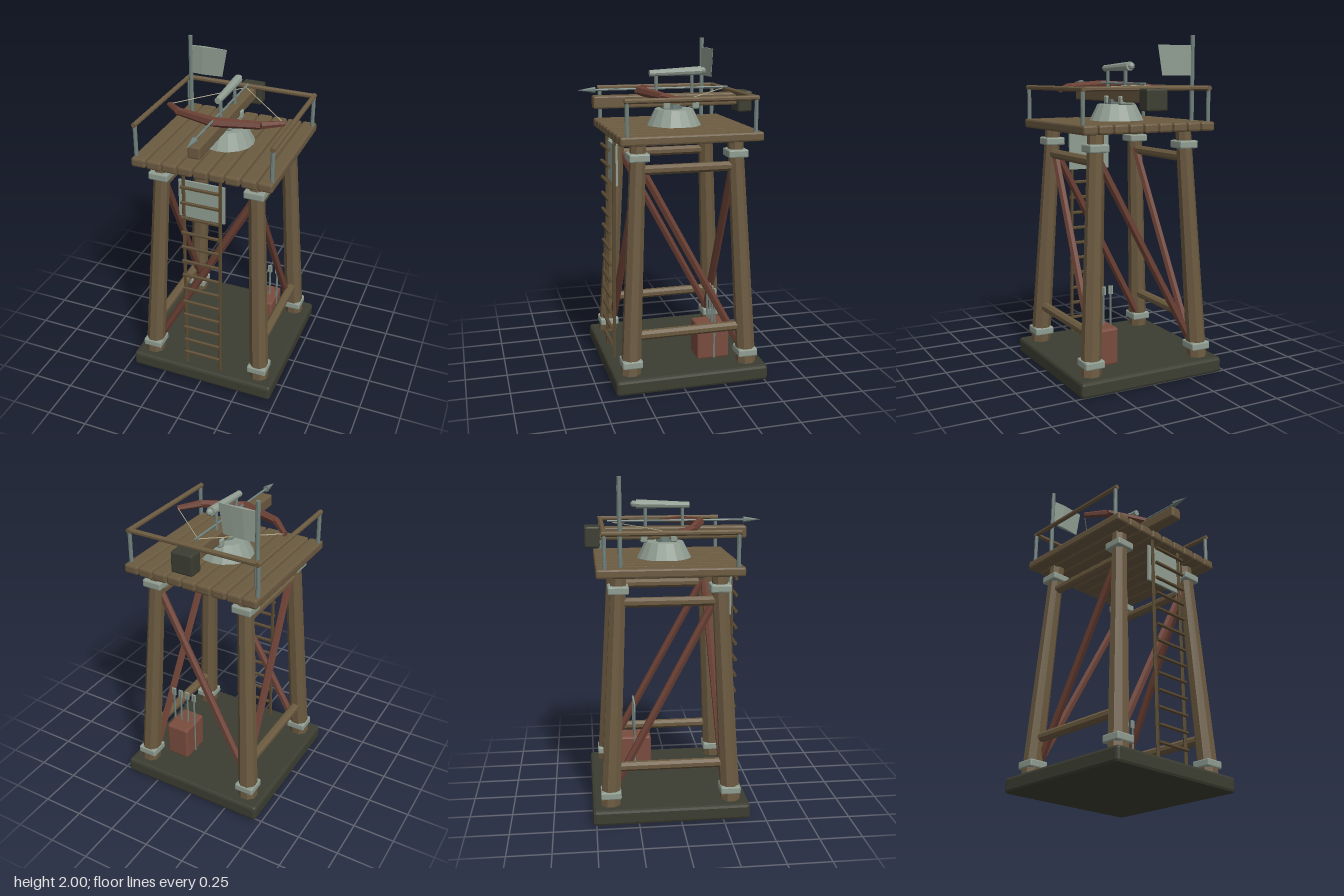
import * as THREE from 'three';
import { RoundedBoxGeometry } from 'three/addons/geometries/RoundedBoxGeometry.js';

const paint = (name, color) => {
  const m = new THREE.MeshStandardMaterial({ color, flatShading: true });
  m.name = name;
  return m;
};

export function createModel() {
  const wood = paint('wood', 0x6b5a40);
  const ladderWood = paint('ladder wood', 0x5a4a31);
  const redWood = paint('red wood', 0x6b4034);
  const crateRed = paint('crate red', 0x7a4c3e);
  const stone = paint('dark stone', 0x3c3d31);
  const metal = paint('pale metal', 0x909d91);
  const steel = paint('steel', 0x70807b);
  const cord = paint('cord', 0xb0a888);

  const model = new THREE.Group();
  const ZC = -0.055; // tower axis

  const add = (name, geo, mat, x = 0, y = 0, z = 0) => {
    const mesh = new THREE.Mesh(geo, mat);
    mesh.name = name;
    mesh.position.set(x, y, z);
    model.add(mesh);
    return mesh;
  };
  // Box with chamfered edges
  const block = (name, mat, w, h, d, x, y, z, c = 0.01) =>
    add(name, new RoundedBoxGeometry(w, h, d, 1, c), mat, x, y, z);
  // Tapered prism between two points
  const strut = (name, mat, a, b, ra, rb = ra, sides = 8) => {
    const p = new THREE.Vector3(...a), q = new THREE.Vector3(...b);
    const dir = q.clone().sub(p);
    const geo = new THREE.CylinderGeometry(rb, ra, dir.length(), sides);
    geo.rotateY(Math.PI / sides);
    const mesh = add(name, geo, mat);
    mesh.position.copy(p).add(q).multiplyScalar(0.5);
    mesh.quaternion.setFromUnitVectors(new THREE.Vector3(0, 1, 0), dir.normalize());
    return mesh;
  };
  // Distance of the leaning legs from the axis at height y
  const lean = (y) => 0.363 - 0.052 * y;

  // Base slab
  block('baseSlab', stone, 0.93, 0.095, 0.93, 0, 0.0475, ZC, 0.018);

  // Legs with metal collars
  for (const sx of [-1, 1]) for (const sz of [-1, 1]) {
    const at = (y) => [sx * lean(y), y, ZC + sz * lean(y)];
    strut('leg', wood, at(0.09), at(1.46), 0.06, 0.046);
    for (const y of [0.163, 1.372]) {
      const [x, , z] = at(y);
      block('legCollar', metal, 0.12, 0.046, 0.12, x, y, z, 0.008);
    }
  }

  // Side beams and one diagonal brace on every side
  for (const s of [-1, 1]) {
    for (const y of [0.322, 1.295]) {
      const r = lean(y);
      strut('sideBeam', wood, [s * r, y, ZC - r], [s * r, y, ZC + r], 0.029);
    }
    const lo = 0.2, hi = 1.33, a = lean(lo) - 0.03, b = lean(hi) - 0.01;
    strut('sideBrace', redWood, [s * a, lo, ZC - a], [s * b, hi, ZC + b], 0.024, 0.024, 6);
    strut('crossBrace', redWood, [-a, lo, ZC + s * a], [b, hi, ZC + s * b], 0.024, 0.024, 6);
  }

  // Deck planks
  for (let i = -4; i <= 4; i++)
    block('deckPlank', wood, 0.088, 0.054, 0.834, i * 0.0945, 1.479, ZC, 0.012);

  // Railing, open at the front
  const back = -0.423, front = 0.32, side = 0.405, railY = 1.697;
  for (const s of [-1, 1]) {
    for (const z of [back, front])
      strut('railPost', steel, [s * side, 1.5, z], [s * side, railY, z], 0.012);
    strut('sideRail', wood, [s * side, railY, back - 0.014], [s * side, railY, front + 0.014], 0.015);
  }
  strut('backRail', wood, [-side, railY, back], [side, railY, back], 0.015);

  // Flag and pole
  strut('flagPole', steel, [-0.35, 1.5, -0.334], [-0.35, 2, -0.334], 0.013);
  const flagGeo = new THREE.BoxGeometry(0.225, 0.172, 1, 3, 1, 1);
  const fp = flagGeo.attributes.position;
  const thick = [0.008, 0.022, 0.014, 0.002];
  for (let i = 0; i < fp.count; i++) {
    const col = Math.round((fp.getX(i) / 0.225 + 0.5) * 3);
    fp.setZ(i, fp.getZ(i) * thick[col]);
    if (fp.getY(i) < 0) fp.setX(i, fp.getX(i) - 0.01 * col);
  }
  flagGeo.computeVertexNormals();
  add('flag', flagGeo, metal, -0.228, 1.856, -0.334);

  // Ladder
  for (const s of [-1, 1])
    strut('ladderRail', ladderWood, [s * 0.112, 0.09, 0.352], [s * 0.112, 1.46, 0.333], 0.011, 0.011, 6);
  for (let i = 0; i < 13; i++) {
    const y = 0.187 + i * 0.1;
    strut('ladderRung', ladderWood, [-0.115, y, 0.367], [0.115, y, 0.367], 0.011, 0.011, 6);
  }
  add('shieldPlate', new THREE.BoxGeometry(0.28, 0.235, 0.012), metal, -0.004, 1.293, 0.325);

  // Crate with spare bolts
  block('boltCrate', crateRed, 0.15, 0.22, 0.2, 0.21, 0.205, -0.23, 0.012);
  for (let i = 0; i < 4; i++) {
    const x = 0.136 + i * 0.049;
    strut('spareBolt', steel, [x, 0.1, -0.235], [x, 0.54, -0.235], 0.007, 0.007, 6);
    add('spareBoltFletching', new THREE.BoxGeometry(0.028, 0.05, 0.009), metal, x, 0.52, -0.235);
  }

  // Turret mount
  add('turretBase', new THREE.CylinderGeometry(0.115, 0.163, 0.096, 16), metal, 0, 1.553, ZC);
  strut('turretPivot', steel, [0, 1.59, ZC], [0, 1.63, ZC], 0.05);

  // Stock, clamps and counterweight
  block('stock', wood, 0.074, 0.074, 0.88, 0, 1.653, -0.004, 0.01);
  block('counterweight', stone, 0.134, 0.124, 0.09, 0, 1.637, -0.482, 0.01);
  for (const z of [-0.177, 0])
    block('stockClamp', metal, 0.1, 0.05, 0.042, 0, 1.625, z, 0.008);

  // Bow limbs and strings
  for (const s of [-1, 1]) {
    const mid = [0, 1.712, 0.158], bend = [s * 0.247, 1.702, 0.08], tip = [s * 0.352, 1.687, -0.02];
    strut('bowInnerLimb', redWood, mid, bend, 0.029, 0.023, 6);
    strut('bowOuterLimb', redWood, bend, tip, 0.023, 0.016, 6);
    strut('bowString', cord, [s * 0.345, 1.69, -0.025], [0, 1.715, -0.357], 0.003, 0.003, 5);
  }

  // Loaded bolt
  strut('boltShaft', steel, [0, 1.723, -0.39], [0, 1.723, 0.43], 0.007, 0.007, 6);
  strut('boltHead', steel, [0, 1.723, 0.42], [0, 1.723, 0.525], 0.019, 0, 8);

  // Sighting tube on two stands
  strut('sightTube', metal, [0, 1.822, -0.22], [0, 1.812, 0.095], 0.027, 0.019, 10);
  add('sightKnob', new THREE.SphereGeometry(0.02, 8, 6), metal, 0, 1.822, -0.233);
  for (const z of [-0.165, 0.055])
    strut('sightStand', steel, [0, 1.68, z], [0, 1.81, z], 0.011);

  return model;
}
